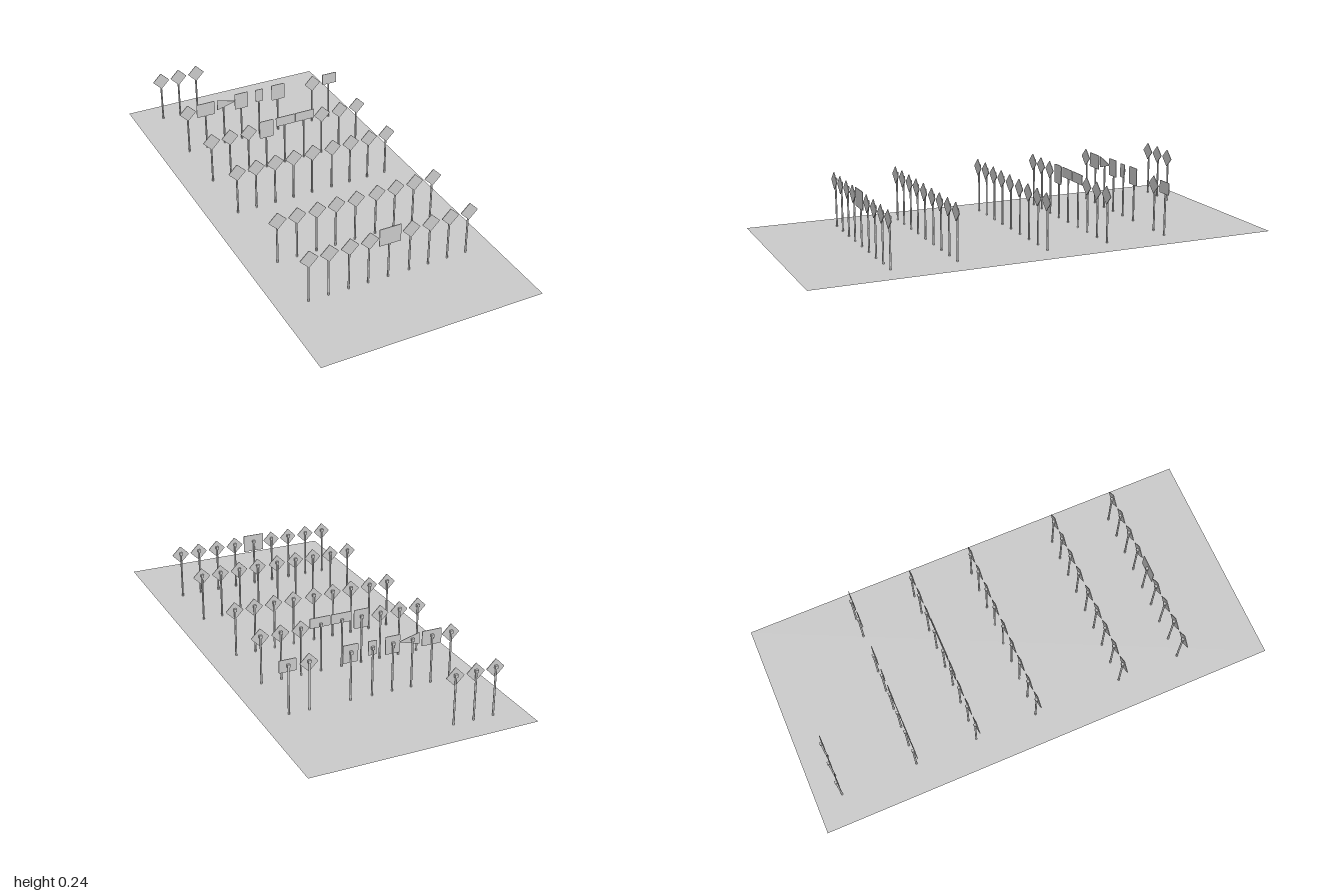
import * as THREE from 'three';

const material = new THREE.MeshStandardMaterial({ color: 0xcccccc, side: THREE.DoubleSide });
const THICK = 0.003;

function plate(shape) {
  return new THREE.ExtrudeGeometry(shape, { depth: THICK, bevelEnabled: false, curveSegments: 3 });
}

// Rectangle with rounded corners, centred on the origin
function roundedRect(w, h, r) {
  const s = new THREE.Shape(), x = w / 2, y = h / 2;
  s.moveTo(-x + r, -y);
  s.lineTo(x - r, -y).quadraticCurveTo(x, -y, x, -y + r);
  s.lineTo(x, y - r).quadraticCurveTo(x, y, x - r, y);
  s.lineTo(-x + r, y).quadraticCurveTo(-x, y, -x, y - r);
  s.lineTo(-x, -y + r).quadraticCurveTo(-x, -y, -x + r, -y);
  return plate(s);
}

// Sign plates, placed relative to the foot of the post
const plates = {
  diamond: roundedRect(0.055, 0.055, 0.003).rotateZ(Math.PI / 4).translate(0, 0.2, 0),
  board: roundedRect(0.094, 0.077, 0.002).translate(0, 0.199, 0),
  tall: roundedRect(0.066, 0.083, 0.008).translate(0, 0.196, 0),
  portrait: roundedRect(0.064, 0.076, 0.004).translate(0, 0.2, 0),
  arrow: roundedRect(0.09, 0.043, 0.003).translate(0.002, 0.216, 0),
  wide: roundedRect(0.086, 0.064, 0.004).translate(0, 0.198, 0),
  narrow: roundedRect(0.036, 0.06, 0.003).translate(0, 0.205, 0),
  low: roundedRect(0.072, 0.052, 0.004).translate(0.001, 0.205, 0),
  pennant: plate(new THREE.Shape([
    new THREE.Vector2(-0.032, 0.18), new THREE.Vector2(0.06, 0.205), new THREE.Vector2(-0.032, 0.23),
  ])),
};

const postGeometry = new THREE.CylinderGeometry(0.004, 0.004, 0.212, 10).translate(0, 0.106, -0.004);
const bracketGeometry = new THREE.BoxGeometry(0.012, 0.012, 0.01).translate(0, 0.206, -0.005);

function addMesh(parent, name, geometry) {
  const mesh = new THREE.Mesh(geometry, material);
  mesh.name = name;
  parent.add(mesh);
  return mesh;
}

// One sign: post, plate and the bracket behind it
function makeSign(kind) {
  const sign = new THREE.Group();
  sign.name = kind + 'Sign';
  addMesh(sign, 'post', postGeometry);
  addMesh(sign, 'plate', plates[kind]);
  addMesh(sign, 'bracket', bracketGeometry);
  return sign;
}

const columns = [-0.345, -0.26, -0.173, -0.088, 0, 0.093, 0.18, 0.267, 0.353];

// Signs that are not plain diamonds, by column; null leaves a gap
const rows = [
  { z: 0.645, special: { 4: 'board' } },
  { z: 0.371, special: {} },
  { z: -0.015, special: {} },
  { z: -0.285, special: { 3: 'tall', 4: 'arrow', 5: 'arrow' } },
  { z: -0.555, special: { 1: 'wide', 2: 'pennant', 3: 'portrait', 4: 'narrow', 5: 'portrait', 6: null, 8: 'low' } },
  { z: -0.884, special: {}, count: 3 },
];

export function createModel() {
  const model = new THREE.Group();
  model.name = 'roadSignDisplay';

  addMesh(model, 'ground', new THREE.PlaneGeometry(0.948, 2).rotateX(-Math.PI / 2));

  rows.forEach(({ z, special, count = columns.length }, i) => {
    const row = new THREE.Group();
    row.name = 'signRow' + (i + 1);
    row.position.z = z;
    for (let c = 0; c < count; c++) {
      const kind = c in special ? special[c] : 'diamond';
      if (!kind) continue;
      const sign = makeSign(kind);
      sign.position.x = columns[c];
      row.add(sign);
    }
    model.add(row);
  });
  return model;
}
